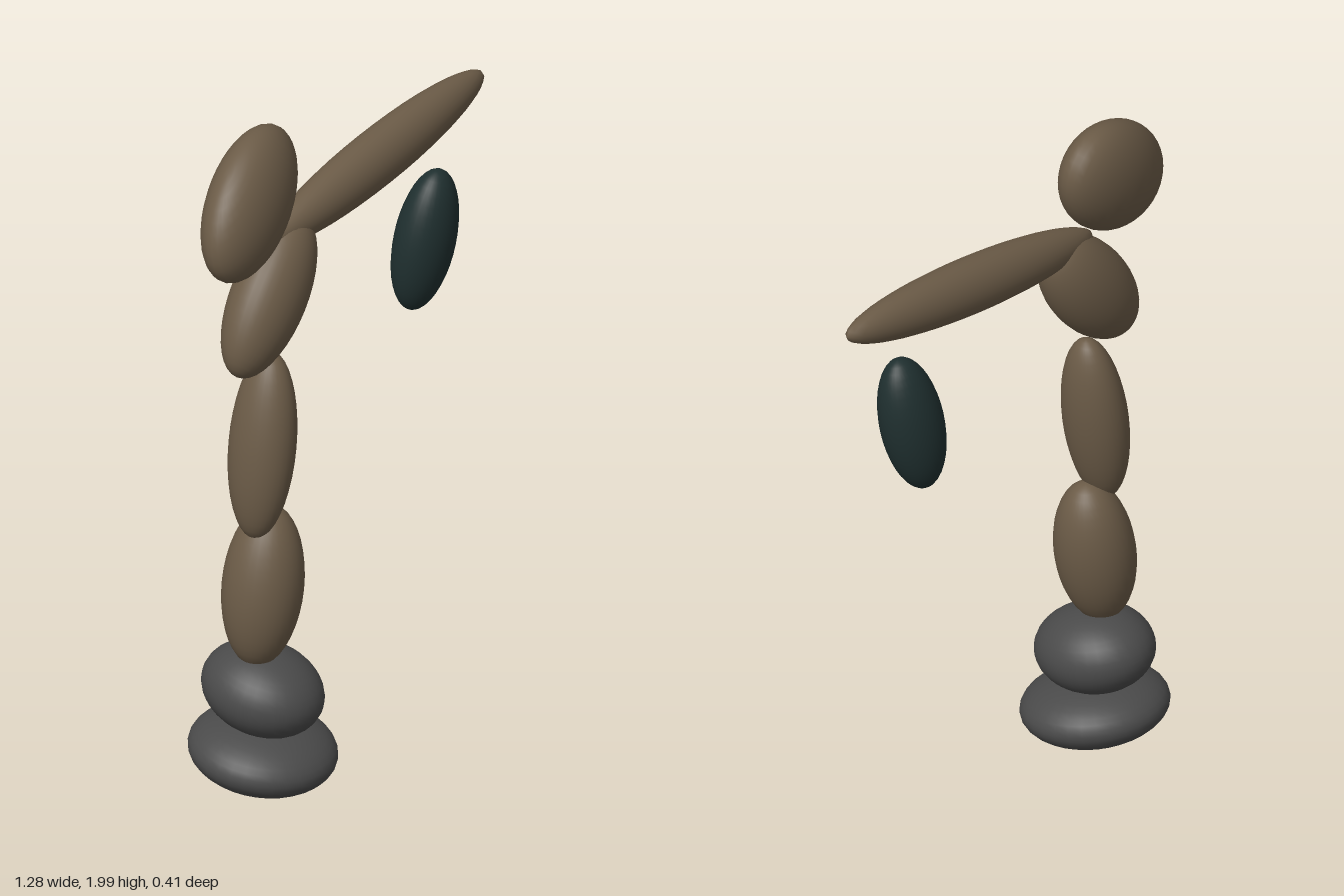
import * as THREE from 'three';

export function createModel() {
  const model = new THREE.Group();

  const bark = new THREE.MeshStandardMaterial({ color: 0x6b5b47 });
  bark.name = 'brown bark';
  const stone = new THREE.MeshStandardMaterial({ color: 0x4a4a4a });
  stone.name = 'grey stone';
  const lantern = new THREE.MeshStandardMaterial({ color: 0x1f2f2f });
  lantern.name = 'dark teal';

  const sphere = new THREE.SphereGeometry(1, 32, 20);

  // Stretched and tilted ball: centre, half sizes, rotation (applied x, then y, then z)
  function blob(name, material, centre, radii, rotation) {
    const mesh = new THREE.Mesh(sphere, material);
    mesh.name = name;
    mesh.position.set(...centre);
    mesh.scale.set(...radii);
    mesh.rotation.set(...rotation, 'ZYX');
    model.add(mesh);
  }

  // Stacked stones of the foot
  blob('baseStone', stone, [-0.37, 0.108, 0], [0.21, 0.097, 0.208], [0.15, 0, 0]);
  blob('upperStone', stone, [-0.37, 0.293, 0], [0.157, 0.123, 0.18], [0.2, 0, -0.03]);

  // Trunk segments
  blob('lowerTrunk', bark, [-0.37, 0.61, 0], [0.113, 0.235, 0.114], [0, 0, -0.16]);
  blob('middleTrunk', bark, [-0.372, 1.042, 0], [0.085, 0.275, 0.098], [0, 0, -0.14]);
  blob('upperTrunk', bark, [-0.342, 1.487, 0], [0.122, 0.242, 0.1], [0, 0, -0.66]);

  // Crown and outstretched branch
  blob('crown', bark, [-0.433, 1.807, 0], [0.239, 0.161, 0.1], [0, 0.152, 0.65]);
  blob('branch', bark, [0.138, 1.714, 0], [0.499, 0.083, 0.072], [0, 0, 0.134]);

  // Hanging pod below the branch
  blob('hangingPod', lantern, [0.37, 1.376, 0], [0.096, 0.213, 0.082], [0.12, 0, -0.148]);

  return model;
}
